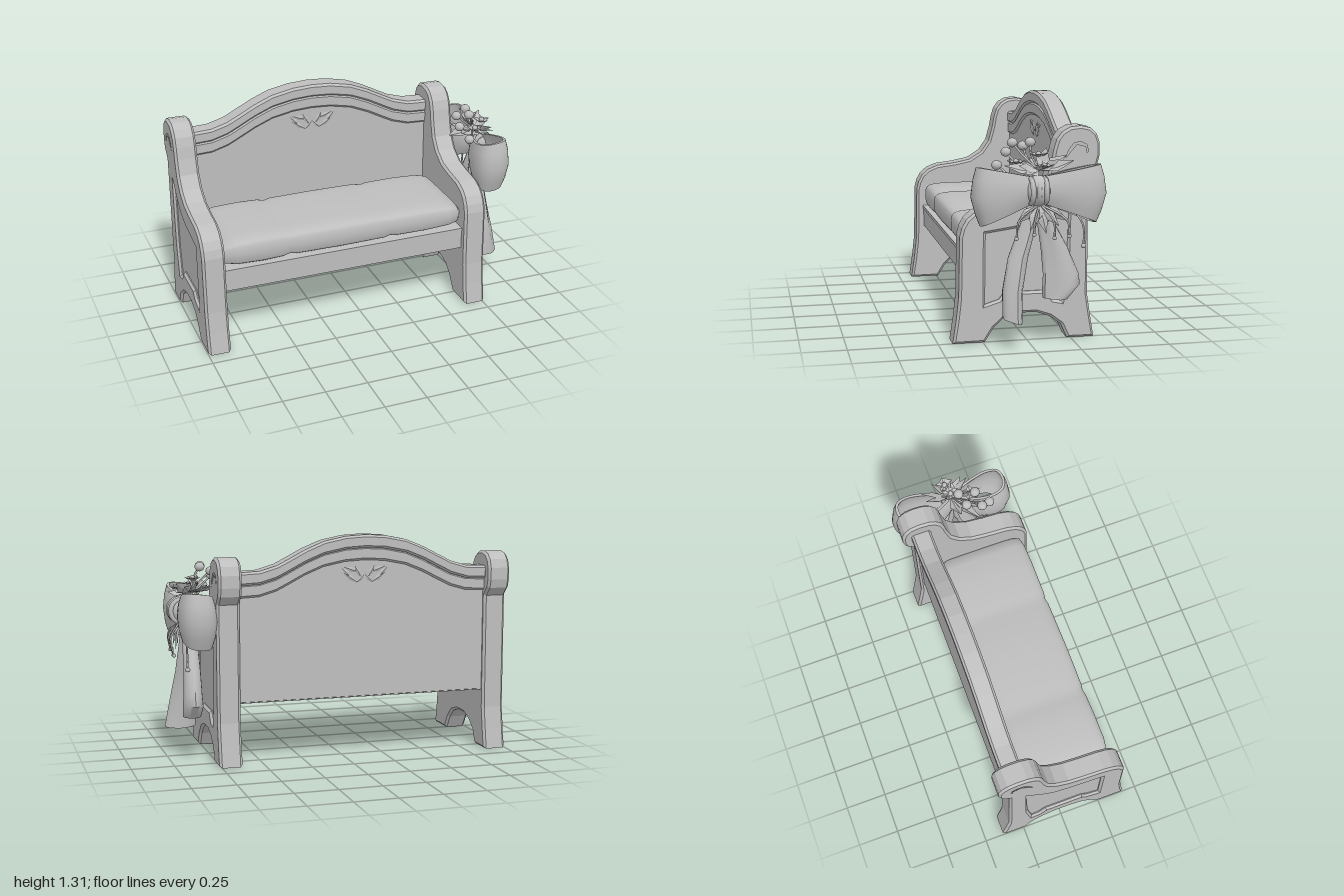
import * as THREE from 'three';
import { toCreasedNormals } from 'three/addons/utils/BufferGeometryUtils.js';

const V = (x, y, z) => new THREE.Vector3(x, y, z);
const CX = -0.117; // middle of the bench, which sits off centre because of the bow

export function createModel() {
  const model = new THREE.Group();
  model.name = 'bench';
  const stone = new THREE.MeshStandardMaterial({ color: 0xbebebe, side: THREE.DoubleSide });
  stone.name = 'plain grey';

  const add = (name, geo, parent = model) => {
    const m = new THREE.Mesh(geo, stone);
    m.name = name;
    parent.add(m);
    return m;
  };
  const group = (name) => {
    const g = new THREE.Group();
    g.name = name;
    model.add(g);
    return g;
  };
  // Skin over closed rings of points, capped at both ends
  const loft = (rings, crease = 0.7) => {
    const n = rings[0].length, pos = rings.flat().flatMap((p) => p.toArray()), idx = [];
    for (let r = 0; r < rings.length - 1; r++)
      for (let i = 0; i < n; i++) {
        const a = r * n + i, b = r * n + (i + 1) % n;
        idx.push(a, b, a + n, b, b + n, a + n);
      }
    const last = (rings.length - 1) * n;
    for (let i = 1; i < n - 1; i++) idx.push(0, i + 1, i, last, last + i, last + i + 1);
    const g = new THREE.BufferGeometry();
    g.setAttribute('position', new THREE.Float32BufferAttribute(pos, 3));
    g.setIndex(idx);
    return toCreasedNormals(g, crease);
  };
  const extrude = (shape, depth, bevel) =>
    new THREE.ExtrudeGeometry(shape, {
      depth: depth - 2 * bevel, bevelThickness: bevel, bevelSize: bevel,
      bevelOffset: -bevel, bevelSegments: 1, curveSegments: 8,
    }).translate(0, 0, bevel);

  // End panels: outlines are given as z, y
  const flat = (pts) => pts.map(([z, y]) => new THREE.Vector2(-z, y));
  const outline = [
    [0.42, 0], [0.4, 0.13], [0.385, 0.26], [0.378, 0.6], [0.365, 0.65], [0.34, 0.695], [0.3, 0.73], [0.24, 0.755],
    [0.12, 0.77], [0.02, 0.79], [-0.06, 0.84], [-0.11, 0.91], [-0.135, 1.0], [-0.148, 1.07], [-0.165, 1.125],
    [-0.195, 1.165], [-0.24, 1.19], [-0.3, 1.196], [-0.355, 1.183], [-0.39, 1.15], [-0.408, 1.1], [-0.408, 1.03],
    [-0.395, 0.98], [-0.345, 0.93], [-0.345, 0.25], [-0.365, 0.12], [-0.385, 0], [-0.23, 0], [-0.195, 0.08],
    [-0.13, 0.13], [-0.05, 0.158], [0.05, 0.158], [0.13, 0.135], [0.19, 0.08], [0.24, 0],
  ];
  const inset = [
    [0.24, 0.215], [0.16, 0.24], [0.13, 0.28], [-0.11, 0.28], [-0.15, 0.225], [-0.195, 0.215],
    [-0.225, 0.4], [-0.24, 0.84], [-0.17, 0.75], [-0.09, 0.68], [0.02, 0.645], [0.235, 0.615],
  ];
  const scroll = [
    [-0.2, 1.0], [-0.215, 1.07], [-0.25, 1.115], [-0.3, 1.125], [-0.345, 1.1], [-0.355, 1.05],
    [-0.325, 1.025], [-0.315, 1.07], [-0.28, 1.08], [-0.25, 1.045],
  ];
  const slab = new THREE.Shape(flat(outline));
  const frame = new THREE.Shape(flat(outline));
  frame.holes = [inset, scroll].map((h) => new THREE.Path(flat(h)));
  [['right', -1, 0.02, 0], ['left', 0.63, 0, 0.02]].forEach(([side, x, slabX, frameX]) => {
    const g = group(side + 'EndPanel');
    add('panelCore', extrude(slab, 0.115, 0.014).rotateY(Math.PI / 2).translate(x + slabX, 0, 0), g);
    add('panelFrame', extrude(frame, 0.115, 0.014).rotateY(Math.PI / 2).translate(x + frameX, 0, 0), g);
  });

  // Backrest: stacked bands that follow the arched top
  const half = [[0.76, 1.11], [0.63, 1.116], [0.53, 1.145], [0.46, 1.18], [0.36, 1.232], [0.25, 1.277], [0.12, 1.303]];
  const arch = [...half.map(([u, y]) => [-u, y]), [0, 1.31], ...half.slice().reverse()];
  const band = (name, top, bottom, back, front, bevel) => {
    const up = arch.map(([u, y]) => new THREE.Vector2(CX + u, y - top));
    const low = bottom === null
      ? [new THREE.Vector2(CX + 0.76, 0.36), new THREE.Vector2(CX - 0.76, 0.36)]
      : arch.map(([u, y]) => new THREE.Vector2(CX + u, y - bottom)).reverse();
    add(name, extrude(new THREE.Shape([...up, ...low]), front - back, bevel).translate(0, 0, back));
  };
  band('topRail', 0, 0.076, -0.355, -0.237, 0.013);
  band('railMoulding', 0.07, 0.148, -0.336, -0.24, 0.012);
  band('backPanel', 0.1, null, -0.322, -0.252, 0.002);

  // Folded leaf, also used for petals and carving
  const leaf = (name, base, tip, width, normal, parent) => {
    const dir = tip.clone().sub(base);
    const side = dir.clone().cross(normal).setLength(width / 2);
    const mid = base.clone().addScaledVector(dir, 0.5);
    const ridge = mid.clone().addScaledVector(normal.clone().normalize(), -width * 0.2);
    const l = mid.clone().add(side), r = mid.clone().sub(side);
    const tri = [base, l, ridge, l, tip, ridge, tip, r, ridge, r, base, ridge];
    const g = new THREE.BufferGeometry();
    g.setAttribute('position', new THREE.Float32BufferAttribute(tri.flatMap((p) => p.toArray()), 3));
    g.computeVertexNormals();
    add(name, g, parent);
  };

  // Carved scrollwork in the middle of the backrest, on both faces
  const carving = group('backCarving');
  [[-0.249, -1], [-0.325, 1]].forEach(([z, n]) =>
    [-1, 1].forEach((s) =>
      [[0.03, 1.09, 0.13, 1.125], [0.02, 1.06, 0.06, 1.13], [0.04, 1.03, 0.13, 1.09], [0.0, 1.08, 0.05, 1.03], [0.08, 1.06, 0.14, 1.12]].forEach(
        ([a, b, c, d]) => leaf('carvedLeaf', V(CX + s * a, b, z), V(CX + s * c, d, z), 0.03, V(0, 0, n), carving))));

  // Seat base and cushion
  add('seatBase', new THREE.BoxGeometry(1.51, 0.135, 0.655).translate(CX, 0.4225, 0.0075));
  add('apronLip', new THREE.BoxGeometry(1.51, 0.02, 0.02).translate(CX, 0.48, 0.331));
  const pow = (v) => Math.sign(v) * Math.abs(v) ** 0.4;
  const puffs = [
    [-0.87, 0.86, 0.09], [-0.85, 0.96, 0.13], [-0.78, 1, 0.165], [-0.62, 1, 0.178], [-0.5, 0.99, 0.17],
    [-0.46, 0.967, 0.15], [-0.42, 0.99, 0.165], [-0.15, 1, 0.17], [0.13, 0.99, 0.165], [0.17, 0.967, 0.146],
    [0.21, 0.99, 0.16], [0.4, 1, 0.162], [0.55, 0.99, 0.145], [0.61, 0.95, 0.115], [0.628, 0.85, 0.07],
  ];
  add('cushion', loft(puffs.map(([x, w, h]) => Array.from({ length: 28 }, (_, i) => {
    const a = (i / 28) * Math.PI * 2;
    return V(x, 0.572 + pow(Math.sin(a)) * h / 2, 0.06 - pow(Math.cos(a)) * 0.275 * w);
  })), 1));

  // Bow loops: a puffed ribbon bent round, open above and below, narrower at the lower edge
  const bow = group('bow');
  const bend = new THREE.CatmullRomCurve3([
    [0.02, 0.9], [0.12, 0.93], [0.25, 0.945], [0.32, 0.92], [0.34, 0.865], [0.32, 0.8], [0.25, 0.775], [0.12, 0.8], [0.02, 0.86],
  ].map(([u, x]) => V(x, 0, u)));
  const loop = (name, s, stretch) => {
    const rings = [];
    for (let k = 0; k <= 28; k++) {
      const p = bend.getPoint(k / 28), t = bend.getTangent(k / 28);
      const out = V(t.z, 0, -t.x);
      const tall = 0.065 + 0.28 * Math.min(p.z, 0.35);
      const at = (v, offset) => {
        const q = p.clone().addScaledVector(out, offset + 0.024 * (1 - v * v));
        const reach = q.z * (v < 0 ? 1 + 0.08 * v : 1 - 0.02 * v);
        return V(q.x, 0.87 - 0.09 * p.z + v * tall + 0.12 * (p.x - 0.87), -0.02 + s * stretch * reach);
      };
      const vs = [-1, -0.6, 0, 0.6, 1];
      rings.push([...vs.map((v) => at(v, 0)), ...vs.slice().reverse().map((v) => at(v, -0.016))]);
    }
    add(name, loft(s > 0 ? rings : rings.map((r) => r.reverse()), 0.8), bow);
  };
  loop('frontLoop', 1, 0.98);
  loop('backLoop', -1, 1.08);
  add('knot', new THREE.SphereGeometry(1, 12, 8).scale(0.072, 0.085, 0.07).translate(0.91, 0.87, -0.022), bow);
  [-0.035, 0.005, 0.04].forEach((z) =>
    add('knotFold', new THREE.TorusGeometry(0.062, 0.016, 5, 16).scale(1, 1.05, 1).translate(0.91, 0.87, -0.022 + z), bow));

  // Hanging ribbon tails: y, x, z, half depth, half thickness, slope of the edge
  const tail = (name, rows) => add(name, loft(rows.map(([y, x, z, hz, hx, slope]) =>
    Array.from({ length: 14 }, (_, i) => {
      const a = (i / 14) * Math.PI * 2, c = Math.cos(a);
      return V(x + Math.sin(a) * hx * (1 + 0.2 * Math.cos(3 * a)), y + c * slope, z + c * hz);
    })), 0.8), bow);
  tail('frontTail', [
    [0.82, 0.88, -0.01, 0.025, 0.03, 0], [0.7, 0.87, 0.015, 0.045, 0.04, 0], [0.5, 0.875, 0.08, 0.056, 0.05, 0],
    [0.32, 0.885, 0.112, 0.056, 0.07, 0], [0.16, 0.9, 0.115, 0.053, 0.085, 0.012],
  ]);
  tail('backTail', [
    [0.82, 0.88, -0.04, 0.025, 0.03, 0], [0.7, 0.87, -0.07, 0.045, 0.04, 0], [0.55, 0.87, -0.122, 0.075, 0.045, 0],
    [0.4, 0.875, -0.16, 0.1, 0.05, 0], [0.32, 0.875, -0.162, 0.107, 0.055, -0.02], [0.265, 0.875, -0.13, 0.07, 0.05, 0.005],
  ]);

  // Leaves above and below the knot
  const spray = group('flowerSpray');
  const core = V(0.86, 0.97, -0.04);
  [[0.82, 1.09, -0.09], [0.84, 1.05, -0.2], [0.92, 1.03, -0.22], [0.95, 1.04, -0.13], [0.97, 1.02, -0.03],
    [0.93, 1.01, 0.09], [0.72, 1.0, 0.1], [0.64, 1.0, 0.09], [0.7, 1.02, -0.02], [0.84, 1.0, 0.15], [0.97, 0.97, 0.06]]
    .forEach(([x, y, z]) => leaf('upperLeaf', core, V(x, y, z), 0.08, V(0.8, 1, 0.1), spray));
  [[0.93, 0.7, 0.1], [0.95, 0.66, 0.03], [0.95, 0.64, -0.06], [0.95, 0.68, -0.13], [0.92, 0.7, -0.19], [0.95, 0.72, -0.02]]
    .forEach(([x, y, z]) => leaf('lowerLeaf', V(0.92, 0.8, -0.025), V(x, y, z), 0.06, V(-1, 0, 0), spray));

  // Open flowers
  [[0.82, 1.01, 0.08], [0.84, 1.05, -0.04], [0.93, 1.0, -0.05]].forEach(([x, y, z]) => {
    const c = V(x, y, z);
    for (let i = 0; i < 5; i++) {
      const a = (i / 5) * Math.PI * 2;
      leaf('petal', c, V(x + Math.cos(a) * 0.05, y + 0.015, z + Math.sin(a) * 0.055), 0.045, V(0, 1, 0), spray);
    }
    add('flowerCentre', new THREE.IcosahedronGeometry(0.016, 1).translate(x, y + 0.008, z), spray);
  });

  // Thin stems ending in buds or beads
  const stem = (name, from, mid, to, size) => {
    const path = new THREE.CatmullRomCurve3([from, mid, to]);
    add(name + 'Stem', new THREE.TubeGeometry(path, 8, 0.006, 5), spray);
    add(name, new THREE.IcosahedronGeometry(size, 1).scale(1, 0.9, 1).translate(to.x, to.y, to.z), spray);
  };
  [[0.77, 1.115, 0.09], [0.79, 1.118, -0.005], [0.7, 1.055, 0.11], [0.74, 0.99, 0.17], [0.72, 1.09, 0.02]]
    .forEach(([x, y, z]) => stem('bud', core, V((x + 0.86) / 2, y - 0.06, z / 2), V(x, y, z), 0.03));
  [[0.95, 0.62, 0.105], [0.97, 0.62, -0.1], [0.98, 0.63, -0.18], [0.96, 0.64, 0.01]].forEach(([x, y, z]) =>
    stem('bead', V(0.92, 0.8, -0.03), V(x + 0.015, 0.72, z * 0.9), V(x, y, z), 0.012));
  stem('bead', V(0.9, 0.78, -0.2), V(0.92, 0.68, -0.27), V(0.92, 0.56, -0.275), 0.015);

  return model;
}
